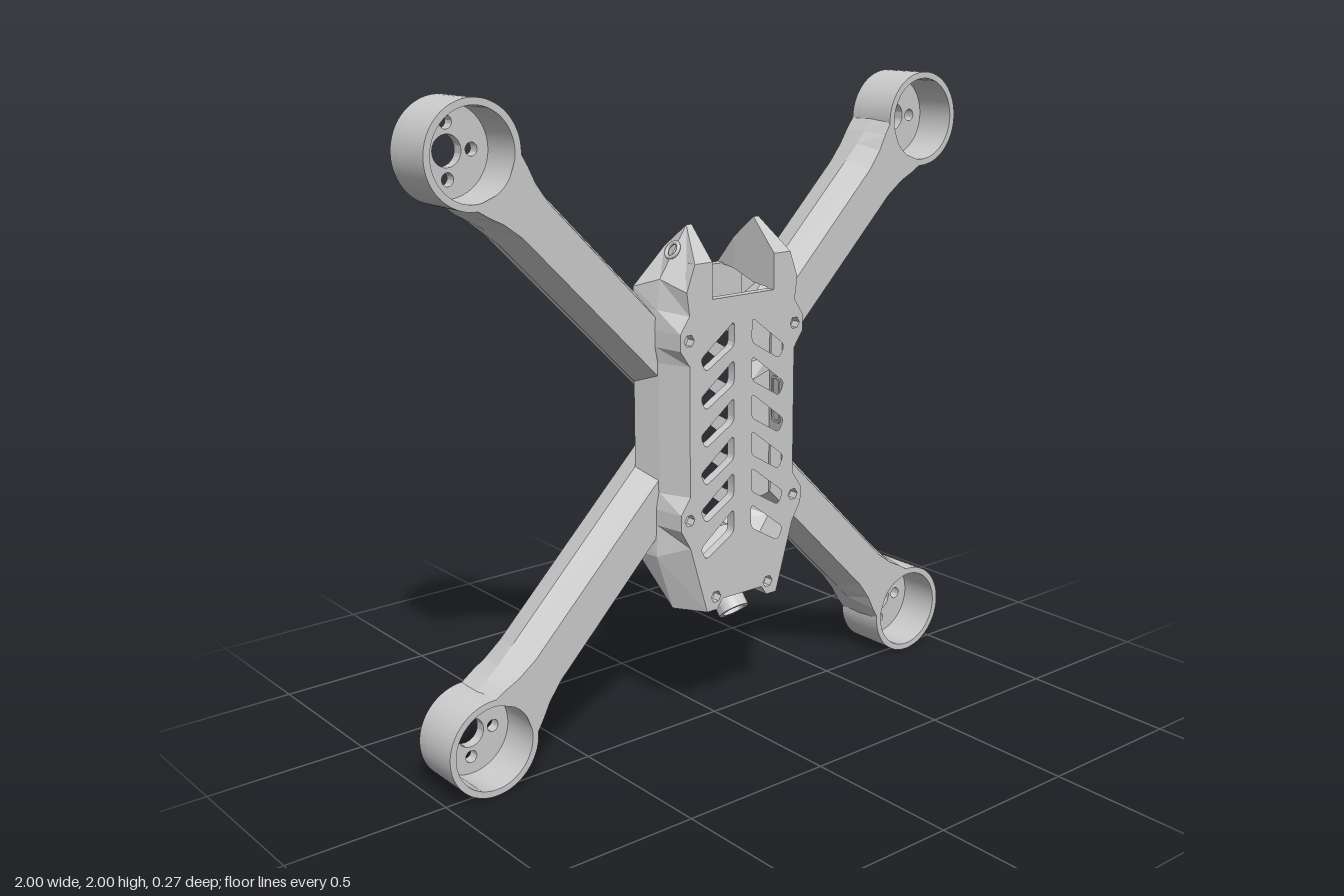
import * as THREE from 'three';
import { toCreasedNormals } from 'three/addons/utils/BufferGeometryUtils.js';

const smoothMat = new THREE.MeshStandardMaterial({ color: 0xcccccc });
const facetMat = new THREE.MeshStandardMaterial({ color: 0xcccccc, flatShading: true, side: THREE.DoubleSide });
const V2 = (x, y) => new THREE.Vector2(x, y);

function addMesh(parent, name, geometry, material = smoothMat) {
  const mesh = new THREE.Mesh(geometry, material);
  mesh.name = name;
  parent.add(mesh);
  return mesh;
}

// Skin between successive rows of [x, y, z] points
function loft(rows, closed, flip = false) {
  const n = rows[0].length, index = [];
  for (let i = 0; i < rows.length - 1; i++) {
    for (let j = 0; j < (closed ? n : n - 1); j++) {
      const k = (j + 1) % n;
      const a = i * n + j, b = i * n + k, c = a + n, d = b + n;
      if (flip) index.push(a, d, b, a, c, d);
      else index.push(a, b, d, a, d, c);
    }
  }
  const geo = new THREE.BufferGeometry();
  geo.setAttribute('position', new THREE.Float32BufferAttribute(rows.flat(2), 3));
  geo.setIndex(index);
  geo.computeVertexNormals();
  return geo;
}

function plate(shape, z0, z1) {
  const geo = new THREE.ExtrudeGeometry(shape, { depth: z1 - z0, bevelEnabled: false, curveSegments: 32 });
  geo.translate(0, 0, z0);
  return toCreasedNormals(geo, 0.5);
}

const circle = (x, y, r) => new THREE.Path().absarc(x, y, r, 0, Math.PI * 2, true);

function polygonHole(x, y, r, sides = 6) {
  const pts = [];
  for (let i = 0; i < sides; i++) {
    const a = (i / sides) * Math.PI * 2;
    pts.push(V2(x + r * Math.cos(a), y + r * Math.sin(a)));
  }
  return new THREE.Path(pts);
}

// Closed path with corners rounded by quadratic curves
function roundedPath(pts, r, PathType = THREE.Path) {
  const path = new PathType(), n = pts.length;
  pts.forEach((p, i) => {
    const prev = pts[(i + n - 1) % n], next = pts[(i + 1) % n];
    const a = p.clone().add(prev.clone().sub(p).setLength(r));
    const b = p.clone().add(next.clone().sub(p).setLength(r));
    if (i === 0) path.moveTo(a.x, a.y); else path.lineTo(a.x, a.y);
    path.quadraticCurveTo(p.x, p.y, b.x, b.y);
  });
  path.closePath();
  return path;
}

// Chevron rows of ventilation slots
function addSlots(shape, shrink) {
  for (let row = 0; row < 6; row++) {
    const y = 1.315 - row * 0.117 - shrink;
    for (const s of [-1, 1]) {
      const pts = [[0.035, y], [0.165, y - 0.1], [0.145, y - 0.14], [0.035, y - 0.075]];
      shape.holes.push(roundedPath(pts.map(([x, v]) => V2(s * x, v)), 0.016));
    }
  }
}

// Motor cup: drilled floor with a thin rim
function addMotorMount(parent, x, y) {
  const mount = new THREE.Group();
  mount.name = 'motorMount';
  mount.position.set(x, y, 0);
  const floor = new THREE.Shape().absarc(0, 0, 0.15, 0, Math.PI * 2);
  floor.holes.push(circle(0, 0, 0.045));
  for (const [dx, dy] of [[1, 0], [-1, 0], [0, 1], [0, -1]]) floor.holes.push(circle(dx * 0.077, dy * 0.077, 0.019));
  addMesh(mount, 'mountFloor', plate(floor, -0.135, -0.1));
  const rim = new THREE.Shape().absarc(0, 0, 0.15, 0, Math.PI * 2);
  rim.holes.push(circle(0, 0, 0.13));
  addMesh(mount, 'mountRim', plate(rim, -0.1, 0.035));
  parent.add(mount);
}

// Bevelled arm, flared into the motor mount and cut flush with the body
function armGeometry(sx, sy) {
  // distance from mount, then half widths at front, middle and back
  const stations = [['mount', 0.105, 0.11, 0.11], [0.15, 0.09, 0.103, 0.1], [0.2, 0.073, 0.098, 0.088],
    [0.27, 0.062, 0.097, 0.08], ['body', 0.06, 0.097, 0.078]];
  const rows = stations.map(([at, f, m, b]) => {
    const section = [[-f, 0.035], [0, 0.035], [f, 0.035], [m, -0.05], [b, -0.135], [0, -0.135], [-b, -0.135], [-m, -0.05]];
    return section.map(([u, z]) => {
      let d = at;
      if (at === 'mount') d = Math.sqrt(0.14 ** 2 - u * u);
      if (at === 'body') d = 0.65 * Math.SQRT2 - u;
      return [sx * (0.85 - (d + u) * Math.SQRT1_2), 1 + sy * (0.85 + (u - d) * Math.SQRT1_2), z];
    });
  });
  return loft(rows, true, sx * sy < 0);
}

// Right half outlines of the body, from the top notch round to the bottom, per depth
const levels = [
  [0.135, [[0.12, 1.39], [0.12, 1.5], [0.185, 1.5], [0.215, 1.42], [0.205, 1.35], [0.24, 1.3], [0.24, 1.25], [0.205, 1.2],
    [0.205, 0.8], [0.24, 0.75], [0.24, 0.7], [0.205, 0.64], [0.14, 0.42], [0.1, 0.42], [0.08, 0.45]]],
  [0.04, [[0.12, 1.4], [0.12, 1.6], [0.14, 1.6], [0.24, 1.45], [0.25, 1.36], [0.255, 1.3], [0.255, 1.25], [0.245, 1.2],
    [0.245, 0.8], [0.255, 0.75], [0.255, 0.7], [0.26, 0.6], [0.2, 0.42], [0.1, 0.42], [0.08, 0.43]]],
  [-0.05, [[0.12, 1.43], [0.12, 1.53], [0.15, 1.53], [0.27, 1.42], [0.27, 1.36], [0.27, 1.3], [0.27, 1.25], [0.27, 1.2],
    [0.27, 0.8], [0.27, 0.75], [0.27, 0.7], [0.27, 0.6], [0.2, 0.5], [0.1, 0.5], [0.08, 0.5]]],
  [-0.135, [[0.12, 1.44], [0.125, 1.441], [0.15, 1.44], [0.2, 1.4], [0.2, 1.36], [0.2, 1.3], [0.2, 1.25], [0.2, 1.2],
    [0.2, 0.8], [0.2, 0.75], [0.2, 0.7], [0.2, 0.63], [0.15, 0.58], [0.1, 0.58], [0.08, 0.58]]],
];
const mirrored = (half) => [...half, ...half.map(([x, y]) => [-x, y]).reverse()];

function addBody(parent) {
  const body = new THREE.Group();
  body.name = 'body';
  parent.add(body);

  // Side walls and horns, open at the top between the horns
  const rows = levels.map(([z, half]) => mirrored(half).map(([x, y]) => [x, y, z]));
  addMesh(body, 'bodyShell', loft(rows, false).toNonIndexed(), facetMat);

  // Front cover with slots and screw holes
  const front = new THREE.Shape(mirrored(levels[0][1]).map(([x, y]) => V2(x, y)));
  addSlots(front, 0);
  for (const [x, y] of [[0.207, 1.277], [0.207, 0.728], [0.105, 0.462]]) {
    for (const s of [-1, 1]) front.holes.push(polygonHole(s * x, y, 0.019));
  }
  addMesh(body, 'frontPlate', plate(front, 0.105, 0.135));

  // Back plate with matching slots
  const back = new THREE.Shape(mirrored(levels[3][1]).map(([x, y]) => V2(x, y)));
  addSlots(back, 0.012);
  addMesh(body, 'backPlate', plate(back, -0.135, -0.105));

  // Screw seats on the horns and strap openings on the sloped underside
  for (const s of [-1, 1]) {
    const seat = addMesh(body, 'hornScrewSeat', new THREE.TorusGeometry(0.024, 0.006, 8, 24));
    seat.position.set(s * 0.188, 1.53, 0.035);
    seat.lookAt(s * 1.038, 2.06, 0.035);
    const opening = addMesh(body, 'undersideOpening', new THREE.TorusGeometry(0.022, 0.005, 8, 24));
    opening.position.set(s * 0.12, 0.525, -0.077);
    opening.lookAt(s * 0.12, 0.525 - 0.73, -0.077 - 0.68);
    opening.scale.x = 1.4;
  }

  // Port frame on the left flank
  const rect = (w, h) => [V2(-w, -h), V2(w, -h), V2(w, h), V2(-w, h)];
  const frame = roundedPath(rect(0.03, 0.075), 0.02, THREE.Shape);
  frame.holes.push(roundedPath(rect(0.022, 0.067), 0.016));
  const port = addMesh(body, 'sidePort', plate(frame, -0.004, 0.005));
  port.position.set(0.256, 1, 0);
  port.rotation.y = 1.3;

  // Antenna tube leaning out of the bottom edge
  const profile = [[0.036, 0], [0.05, 0], [0.05, 0.16], [0.036, 0.16], [0.036, 0]].map(([r, y]) => V2(r, y));
  const tube = addMesh(body, 'antennaTube', toCreasedNormals(new THREE.LatheGeometry(profile, 32), 0.5), 
    new THREE.MeshStandardMaterial({ color: 0xcccccc, side: THREE.DoubleSide }));
  tube.position.set(0, 0.378, 0.095);
  tube.rotation.x = -0.7;
}

export function createModel() {
  const model = new THREE.Group();
  model.name = 'quadFrame';
  addBody(model);
  for (const sx of [-1, 1]) {
    for (const sy of [-1, 1]) {
      addMotorMount(model, sx * 0.85, 1 + sy * 0.85);
      addMesh(model, 'arm', armGeometry(sx, sy), facetMat);
    }
  }
  return model;
}
